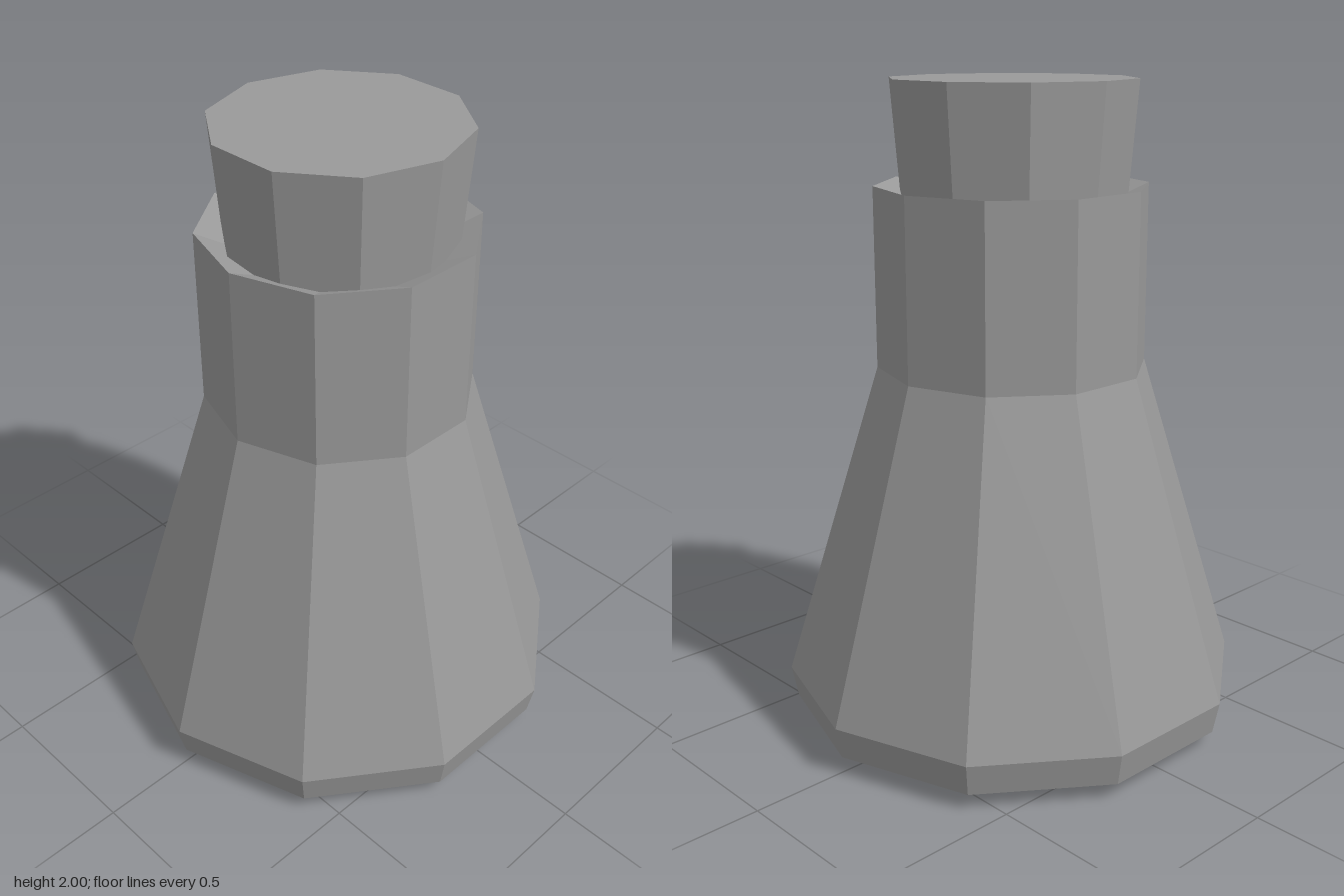
import * as THREE from 'three';

const SIDES = 10;

function faceted(name, profile, turn) {
  const points = profile.map(([r, y]) => new THREE.Vector2(r, y));
  const geometry = new THREE.LatheGeometry(points, SIDES);
  geometry.rotateY(turn);
  const material = new THREE.MeshStandardMaterial({ color: 0x999999, flatShading: true });
  const mesh = new THREE.Mesh(geometry, material);
  mesh.name = name;
  return mesh;
}

export function createModel() {
  const group = new THREE.Group();
  group.name = 'flask';

  // Glass body: chamfered base, cone, straight neck, lip sloping in to the stopper, inner wall
  group.add(faceted('flaskBody', [
    [0, 0], [0.61, 0], [0.7, 0.05], [0.72, 0.15], [0.417, 1.14], [0.417, 1.69],
    [0.33, 1.65], [0.33, 1.14], [0.65, 0.17], [0.62, 0.08], [0, 0.08],
  ], Math.PI / SIDES));

  // Tapered stopper, seated inside the neck
  group.add(faceted('stopper', [
    [0, 1.45], [0.33, 1.45], [0.375, 2], [0, 2],
  ], 0));

  return group;
}
